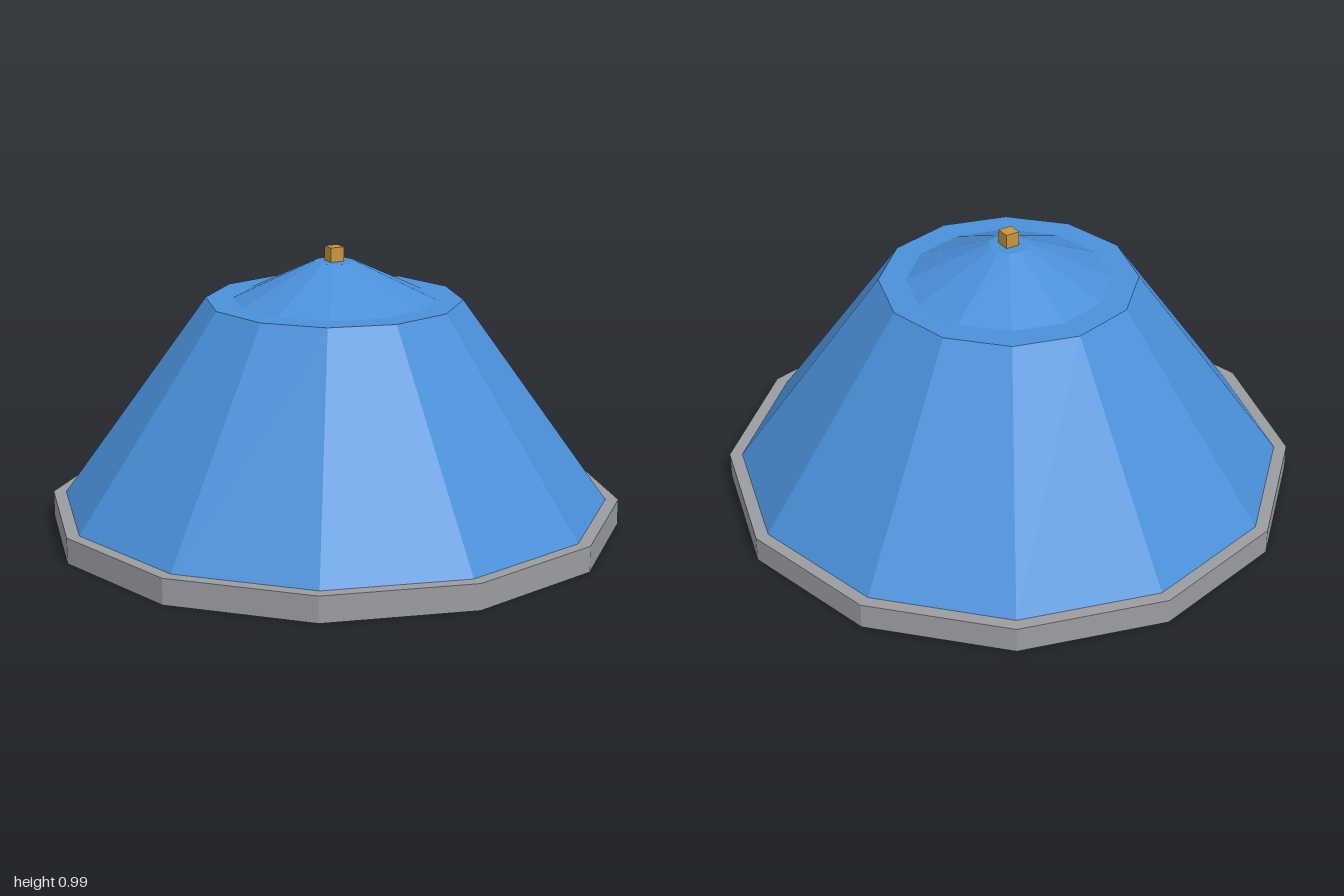
import * as THREE from 'three';

const SIDES = 12;

function material(name, color) {
  const m = new THREE.MeshStandardMaterial({ color, flatShading: true });
  m.name = name;
  return m;
}

export function createModel() {
  const group = new THREE.Group();
  group.name = 'domedRoof';

  const grey = material('stone grey', 0x9a9ca0);
  const blue = material('roof blue', 0x4a90d9);
  const gold = material('finial gold', 0xc8963c);

  // Twelve-sided frustum standing between two heights
  const tier = (name, mat, bottomRadius, topRadius, y0, y1) => {
    const geometry = new THREE.CylinderGeometry(topRadius, bottomRadius, y1 - y0, SIDES);
    const mesh = new THREE.Mesh(geometry, mat);
    mesh.name = name;
    mesh.position.y = (y0 + y1) / 2;
    group.add(mesh);
  };

  tier('baseRim', grey, 1, 1, 0, 0.09);
  tier('mainSlope', blue, 0.955, 0.445, 0.09, 0.803);
  tier('upperCap', blue, 0.35, 0.07, 0.803, 0.936);

  // Small cube on the peak
  const finial = new THREE.Mesh(new THREE.BoxGeometry(0.05, 0.05, 0.05), gold);
  finial.name = 'finial';
  finial.position.y = 0.961;
  group.add(finial);

  return group;
}
